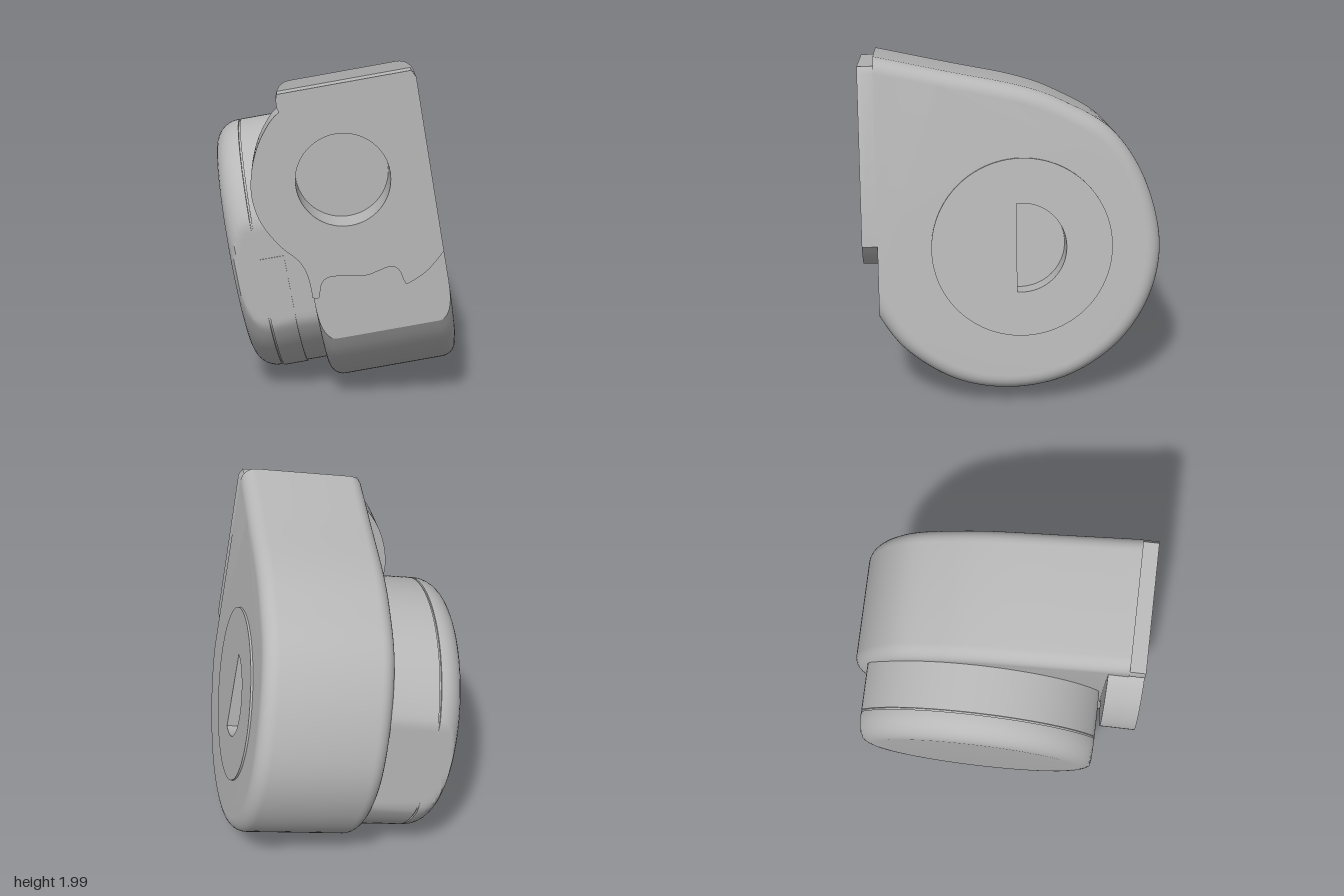
import * as THREE from 'three';
import { toCreasedNormals, mergeGeometries } from 'three/addons/utils/BufferGeometryUtils.js';

const V = (x, y) => new THREE.Vector2(x, y);
const TILT = THREE.MathUtils.degToRad(10);
const ORIGIN = V(0.566, 0.95);
const FRONT = 0.76;          // plane of the flat front
const WIDTH = 0.75;          // body width along the axle

// front-elevation point -> tilted local frame
const local = ([x, y]) => V(x, y).sub(ORIGIN).rotateAround(V(0, 0), -TILT);

// skin between outlines {w, pts}, counter-clockwise seen from +w
function loft(rings, closed) {
  const pos = [], n = rings[0].pts.length;
  for (let i = 0; i < rings.length - 1; i++) {
    for (let j = 0; j < (closed ? n : n - 1); j++) {
      const k = (j + 1) % n, A = rings[i], B = rings[i + 1];
      const put = (r, m) => pos.push(r.pts[m].x, r.pts[m].y, r.w);
      put(A, j); put(A, k); put(B, k);
      put(A, j); put(B, k); put(B, j);
    }
  }
  const g = new THREE.BufferGeometry();
  g.setAttribute('position', new THREE.Float32BufferAttribute(pos, 3));
  return g;
}

function cap(pts, w, facing, hole) {
  const shape = new THREE.Shape(pts.map(p => V(p.x * facing, p.y)));
  if (hole) shape.holes.push(hole);
  const g = new THREE.ShapeGeometry(shape, 48);
  if (facing < 0) g.rotateY(Math.PI);
  return g.translate(0, 0, w);
}

function merge(list) {
  const plain = list.map(g => {
    const h = g.index ? g.toNonIndexed() : g;
    for (const name of Object.keys(h.attributes)) if (name !== 'position') h.deleteAttribute(name);
    h.clearGroups();
    return h;
  });
  return toCreasedNormals(mergeGeometries(plain), 0.6);
}

const circle = (x, y, r) => new THREE.Path().absarc(x, y, r, 0, Math.PI * 2, true);

function extrude(shape, depth) {
  return toCreasedNormals(new THREE.ExtrudeGeometry(shape, { depth, bevelEnabled: false, curveSegments: 40 }), 0.6);
}

// quarter-round edge: list of [distance from the end, inset]
const rounding = (r, n = 8) => Array.from({ length: n + 1 }, (_, k) => {
  const a = k / n * Math.PI / 2;
  return [r * (1 - Math.cos(a)), r * (1 - Math.sin(a))];
});

// teardrop side outline as [z, height], running past the front plane at both ends
const OUTLINE = new THREE.SplineCurve([
  [0.87, 0], [0.84, -0.2], [0.76, -0.4], [0.6, -0.61], [0.32, -0.785], [0, -0.838], [-0.32, -0.775],
  [-0.6, -0.59], [-0.78, -0.32], [-0.84, 0], [-0.755, 0.36], [-0.57, 0.645], [-0.3, 0.81],
  [-0.05, 0.903], [0.35, 0.988], [0.76, 1.077], [1, 1.129],
].map(([z, y]) => V(-z, y)));

// outline moved inward and trimmed at the front plane
function bodyOutline(inset) {
  const N = 240, pts = [];
  for (let i = 0; i <= N; i++) {
    const p = OUTLINE.getPoint(i / N), t = OUTLINE.getTangent(i / N);
    pts.push(V(p.x - t.y * inset, p.y + t.x * inset));
  }
  const kept = [];
  pts.forEach((p, i) => {
    const q = pts[i - 1];
    if (q && (q.x < -FRONT) !== (p.x < -FRONT)) kept.push(q.clone().lerp(p, (-FRONT - q.x) / (p.x - q.x)));
    if (p.x >= -FRONT) kept.push(p);
  });
  return new THREE.Shape(kept).getSpacedPoints(100);
}

// flat-sided round outline of the drum
function drumOutline(inset) {
  return Array.from({ length: 128 }, (_, i) => {
    const a = i / 128 * Math.PI * 2, r = 0.747 - inset;
    return V(0.05 + THREE.MathUtils.clamp(r * Math.cos(a), -0.683, 0.683), r * Math.sin(a));
  });
}

export function createModel() {
  const grey = new THREE.MeshStandardMaterial({ color: 0xb8b8b8 });
  grey.name = 'plainGrey';
  const model = new THREE.Group(), tilted = new THREE.Group();
  model.name = 'tapeCase';
  tilted.name = 'tiltedCase';
  tilted.position.set(ORIGIN.x, ORIGIN.y, 0);
  tilted.rotation.z = TILT;
  model.add(tilted);
  const add = (name, geometry, z = 0) => {
    const mesh = new THREE.Mesh(geometry, grey);
    mesh.name = name;
    mesh.position.z = z;
    tilted.add(mesh);
    return mesh;
  };
  const sideways = g => g.rotateY(Math.PI / 2);

  // main body with rounded side edges and a flat front
  const edge = rounding(0.085);
  const rings = [
    ...edge.map(([w, d]) => ({ w: w - WIDTH, pts: bodyOutline(d) })),
    ...edge.slice().reverse().map(([w, d]) => ({ w: -w, pts: bodyOutline(d) })),
  ];
  const endPts = rings[0].pts;
  add('body', merge([
    sideways(loft(rings, false)),
    sideways(cap(endPts, -WIDTH, -1)),
    sideways(cap(endPts, 0, 1, circle(0.045, 0, 0.3))),
  ]));
  const hole = local([0.01, 1.37]);
  const frontEdge = [
    ...rings.map(r => V(r.w, r.pts[0].y)),
    ...rings.slice().reverse().map(r => V(r.w, r.pts[100].y)),
  ];
  add('bodyFront', cap(frontEdge, FRONT, 1, circle(hole.x, hole.y, 0.255)));

  // side disc with a half-round recess
  const disc = new THREE.Shape().absarc(0.05, 0, 0.51, 0, Math.PI * 2);
  const half = new THREE.Path();
  half.absarc(0.045, 0, 0.255, -Math.PI / 2 - 0.1, Math.PI / 2 + 0.1, false);
  half.closePath();
  disc.holes.push(half);
  add('sideDisc', sideways(extrude(disc, 0.132).translate(0, 0, -0.12)));
  add('sideRecessFloor', sideways(new THREE.CircleGeometry(0.27, 48).translate(0.045, 0, -0.118)));

  // front plate outline: left lobe, then lower edge
  const lobe = [
    [-0.33, 1.74], [-0.38, 1.685], [-0.44, 1.57], [-0.475, 1.44], [-0.483, 1.31], [-0.46, 1.2],
    [-0.41, 1.1], [-0.32, 0.995], [-0.23, 0.92], [-0.18, 0.83], [-0.155, 0.71],
  ].map(local);
  const lobeCurve = new THREE.SplineCurve(lobe).getPoints(50);
  const lower = new THREE.SplineCurve([
    [-0.155, 0.71], [-0.12, 0.71], [-0.105, 0.79], [-0.05, 0.83], [0.13, 0.835], [0.2, 0.86], [0.27, 0.885],
    [0.315, 0.865], [0.345, 0.8], [0.37, 0.79], [0.47, 0.86], [0.558, 0.97],
  ].map(local)).getPoints(60);
  const plate = new THREE.Shape([
    ...lobeCurve, ...lower.slice(1),
    V(0, 0.99), V(-0.02, 1.03), V(-0.74, 1.03), V(-0.75, 1.0), V(-0.752, 0.96), V(-0.742, 0.925),
  ]);
  plate.holes.push(circle(hole.x, hole.y, 0.255));
  add('frontPlate', extrude(plate, 0.087), FRONT);
  add('plateLobe', extrude(new THREE.Shape(lobeCurve), FRONT - 0.65), 0.65);

  // round recess in the front
  const ring = new THREE.Shape().absarc(hole.x, hole.y, 0.262, 0, Math.PI * 2);
  ring.holes.push(circle(hole.x, hole.y, 0.255));
  add('frontRecessWall', extrude(ring, 0.12), 0.64);
  add('frontRecessFloor', new THREE.CircleGeometry(0.258, 48).translate(hole.x, hole.y, 0), 0.645);

  // drum with rounded outer edge, flat sides and a fine seam
  const drum = [
    ...rounding(0.14).map(([w, d]) => [w - 1.177, d]),
    [-1.026, 0], [-1.025, 0.01], [-1.016, 0.01], [-1.015, 0], [-0.74, 0],
  ].map(([w, d]) => ({ w, pts: drumOutline(d) }));
  add('drum', merge([
    sideways(loft(drum, true)),
    sideways(cap(drum[0].pts, -1.177, -1)),
  ]));

  // thin latch strip wrapping the front and underside of the drum
  const strip = [0.007, -0.02].map(grow => Array.from({ length: 41 }, (_, i) => {
    const a = THREE.MathUtils.degToRad(173 + i / 40 * 100), r = 0.747 + grow;
    return V(0.05 + Math.max(r * Math.cos(a), -0.683 - grow), r * Math.sin(a));
  }));
  add('latchStrip', sideways(extrude(new THREE.Shape([...strip[0], ...strip[1].reverse()]), 0.14).translate(0, 0, -1.015)));

  return model;
}
